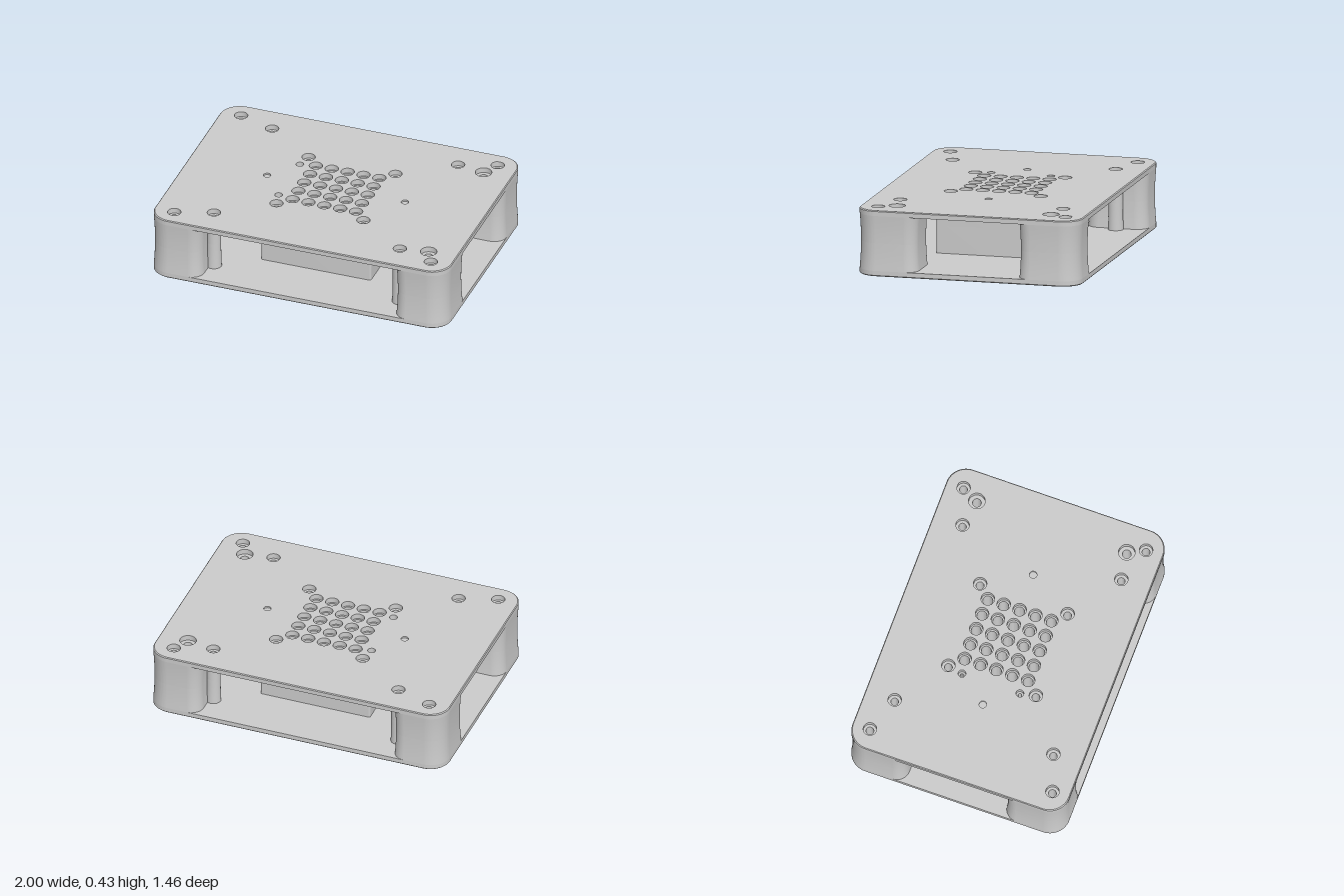
import * as THREE from 'three';
import { toCreasedNormals } from 'three/addons/utils/BufferGeometryUtils.js';

const HALF = 0.2125;             // height of one shell
const PLATE = 0.035;             // plate thickness
const INNER = HALF - PLATE;      // height of pillars, posts and block
const SIGNS = [-1, 1];

const material = new THREE.MeshStandardMaterial({ color: 0xcccccc });

// Rounded rectangle; radii run ++, -+, --, +-
function roundedRect(x0, x1, y0, y1, [a, b, c, d]) {
  const s = new THREE.Shape();
  s.absarc(x1 - a, y1 - a, a, 0, Math.PI / 2);
  s.absarc(x0 + b, y1 - b, b, Math.PI / 2, Math.PI);
  s.absarc(x0 + c, y0 + c, c, Math.PI, Math.PI * 1.5);
  s.absarc(x1 - d, y0 + d, d, Math.PI * 1.5, Math.PI * 2);
  s.closePath();
  return s;
}

function addHole(shape, x, y, r) {
  shape.holes.push(new THREE.Path().absarc(x, y, r, 0, Math.PI * 2, true));
}

// Extrude upwards; rule(v, t) may move a vertex, t runs 0..1 along the height
function rise(name, shape, depth, base, steps, rule) {
  const geo = new THREE.ExtrudeGeometry(shape, { depth, steps, bevelEnabled: false, curveSegments: 14 });
  const pos = geo.attributes.position;
  const v = new THREE.Vector3();
  if (rule) {
    for (let i = 0; i < pos.count; i++) {
      v.fromBufferAttribute(pos, i);
      rule(v, v.z / depth);
      pos.setXYZ(i, v.x, v.y, v.z);
    }
  }
  geo.rotateX(-Math.PI / 2);
  geo.translate(0, base, 0);
  const mesh = new THREE.Mesh(toCreasedNormals(geo, 0.6), material);
  mesh.name = name;
  return mesh;
}

// Slight waist towards the seam between the shells
const waist = (cx, cy, amount) => (v, t) => {
  const k = 1 - amount * (1 - t * t);
  v.x = cx + (v.x - cx) * k;
  v.y = cy + (v.y - cy) * k;
};

// Hole positions
const cornerScrew = [0.865, 0.615];
const postScrew = [0.627, 0.535];
const blockScrew = [0.293, 0.295];
const grid = [];
for (let i = -2; i <= 2; i++) for (let j = -2; j <= 2; j++) grid.push([i * 0.107, j * 0.107]);

function makeShell() {
  const shell = new THREE.Group();

  // Plate with wide recesses and a fine chamfer round its outer edge
  const plate = roundedRect(-1, 1, -0.73, 0.73, [0.13, 0.13, 0.13, 0.13]);
  for (const [x, y] of grid) addHole(plate, x, y, 0.043);
  for (const sy of SIGNS) {
    for (const sx of SIGNS) {
      for (const [x, y] of [cornerScrew, postScrew, blockScrew]) addHole(plate, sx * x, sy * y, 0.043);
    }
    addHole(plate, 0.81, sy * 0.505, 0.053);
    addHole(plate, -0.315, sy * 0.195, 0.025);
    addHole(plate, sy * 0.465, 0, 0.024);
  }
  shell.add(rise('plate', plate, PLATE, INNER, 6, (v, t) => {
    const outer = Math.abs(v.x) > 0.95 || Math.abs(v.y) > 0.68;
    if (outer && t > 0.99) { v.x *= 0.995; v.y *= 0.993; }
  }));

  // Floors of the two shallow dimples
  for (const sx of SIGNS) {
    const dimple = new THREE.Mesh(new THREE.CylinderGeometry(0.024, 0.024, 0.024, 28), material);
    dimple.position.set(sx * 0.465, INNER + 0.012, 0);
    dimple.name = 'dimpleFloor';
    shell.add(dimple);
  }

  // Central block, its narrower bores leaving ledges under the plate
  const block = roundedRect(-0.37, 0.37, -0.37, 0.37, [0.01, 0.01, 0.01, 0.01]);
  for (const [x, y] of grid) addHole(block, x, y, 0.032);
  for (const sy of SIGNS) {
    for (const sx of SIGNS) addHole(block, sx * blockScrew[0], sy * blockScrew[1], 0.025);
    addHole(block, -0.315, sy * 0.195, 0.012);
  }
  shell.add(rise('centralBlock', block, INNER, 0, 1));

  for (const sx of SIGNS) for (const sy of SIGNS) {
    // Corner pillar
    const xs = [sx * 0.65, sx].sort((a, b) => a - b);
    const ys = [sy * 0.33, sy * 0.73].sort((a, b) => a - b);
    const radii = [[1, 1], [-1, 1], [-1, -1], [1, -1]].map(([a, b]) => (a === sx && b === sy ? 0.13 : 0.085));
    const pillar = roundedRect(...xs, ...ys, radii);
    addHole(pillar, sx * cornerScrew[0], sy * cornerScrew[1], 0.025);
    if (sx > 0) addHole(pillar, 0.81, sy * 0.505, 0.028);
    shell.add(rise('cornerPillar', pillar, INNER, 0, 6, waist(sx * 0.825, sy * 0.53, 0.04)));

    // Screw post beside the pillar
    const [px, py] = [sx * postScrew[0], sy * postScrew[1]];
    const post = new THREE.Shape().absarc(px, py, 0.05, 0, Math.PI * 2);
    addHole(post, px, py, 0.024);
    shell.add(rise('screwPost', post, INNER, 0, 6, waist(px, py, 0.08)));
  }
  return shell;
}

export function createModel() {
  const model = new THREE.Group();
  model.name = 'ventedCase';

  // Two identical shells, the lower one turned over
  const upper = makeShell();
  upper.name = 'upperShell';
  const lower = makeShell();
  lower.name = 'lowerShell';
  lower.rotation.z = Math.PI;
  upper.position.y = lower.position.y = HALF;
  model.add(upper, lower);
  return model;
}
